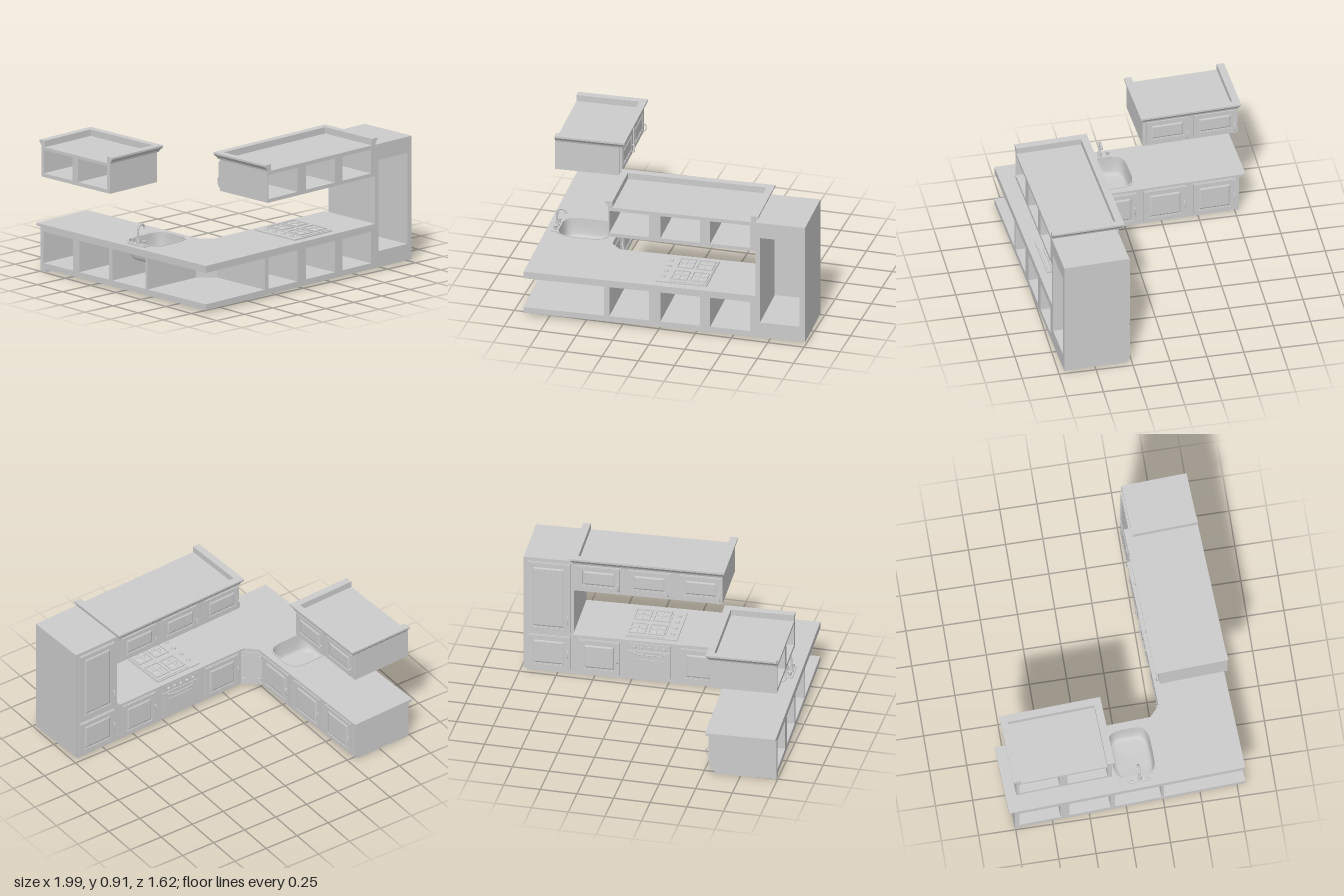
import * as THREE from 'three';

const mat = new THREE.MeshStandardMaterial({ color: 0xcccccc, side: THREE.DoubleSide });

function add(parent, name, geo, x = 0, y = 0, z = 0) {
  const m = new THREE.Mesh(geo, mat);
  m.name = name;
  m.position.set(x, y, z);
  parent.add(m);
  return m;
}
const box = (w, h, d) => new THREE.BoxGeometry(w, h, d);
const cyl = (r0, r1, h, n = 20) => new THREE.CylinderGeometry(r0, r1, h, n);
const group = (parent, name) => {
  const g = new THREE.Group();
  g.name = name;
  parent.add(g);
  return g;
};
const poly = (pts) => new THREE.Shape(pts.map((p) => new THREE.Vector2(p[0], p[1])));
const rect = (x0, x1, y0, y1) => [[x0, y0], [x1, y0], [x1, y1], [x0, y1]];
const extrude = (shape, depth) => new THREE.ExtrudeGeometry(shape, { depth, bevelEnabled: false });
// plan outline (x, distance from the back wall) raised upwards
const slab = (shape, h) => extrude(shape, h).rotateX(-Math.PI / 2);

// cabinet body: open bays at the back, closed panel at the front (+z)
function carcass(parent, name, [x0, x1, y0, y1], depth, holes) {
  const s = poly(rect(x0, x1, y0, y1));
  holes.forEach((h) => s.holes.push(poly(rect(...h))));
  add(parent, name, extrude(s, depth - 0.015));
  add(parent, name + 'Front', box(x1 - x0, y1 - y0, 0.015), (x0 + x1) / 2, (y0 + y1) / 2, depth - 0.0075);
}

function handle(parent, x, y, z, len, horizontal = false) {
  const c = new THREE.CatmullRomCurve3([[0, -len / 2, 0], [0, -len * 0.35, 0.014], [0, 0, 0.018], [0, len * 0.35, 0.014], [0, len / 2, 0]]
    .map((p) => new THREE.Vector3(...p)));
  const m = add(parent, 'handle', new THREE.TubeGeometry(c, 14, 0.004, 8), x, y, z);
  if (horizontal) m.rotation.z = Math.PI / 2;
}

// framed door with a raised centre panel, back on z
function door(parent, cx, y0, y1, w, z, handleY) {
  const g = group(parent, 'door');
  const h = y1 - y0;
  g.position.set(cx, (y0 + y1) / 2, z);
  add(g, 'doorSlab', box(w, h, 0.008), 0, 0, 0.004);
  const ring = (inset, b, d) => {
    const s = poly(rect(-w / 2 + inset, w / 2 - inset, -h / 2 + inset, h / 2 - inset));
    const i = inset + b;
    s.holes.push(poly(rect(-w / 2 + i, w / 2 - i, -h / 2 + i, h / 2 - i)));
    return extrude(s, d);
  };
  add(g, 'doorFrame', ring(0.004, 0.026, 0.007), 0, 0, 0.008);
  add(g, 'doorMoulding', ring(0.03, 0.006, 0.004), 0, 0, 0.008);
  const pw = w - 0.1, ph = h - 0.1;
  add(g, 'doorPanel', new THREE.ExtrudeGeometry(poly(rect(-pw / 2, pw / 2, -ph / 2, ph / 2)),
    { depth: 0.001, bevelSize: 0.01, bevelThickness: 0.005, bevelSegments: 1 }), 0, 0, 0.009);
  handle(g, w / 2 - 0.014, handleY - (y0 + y1) / 2, 0.014, 0.06);
}

// mitred crown moulding around left, front and right
function cornice(parent, x0, x1, depth, y) {
  const profile = [[-0.03, 0], [0, 0], [0.004, 0.012], [0.02, 0.032], [0.02, 0.045], [-0.03, 0.045]];
  const row = ([o, h]) => [[x0 - o, y + h, 0], [x0 - o, y + h, depth + o], [x1 + o, y + h, depth + o], [x1 + o, y + h, 0]];
  const rows = profile.map(row), pos = [];
  rows.forEach((a, i) => {
    const b = rows[(i + 1) % rows.length];
    for (let k = 0; k < 3; k++) pos.push(a[k], a[k + 1], b[k + 1], a[k], b[k + 1], b[k]);
  });
  for (let i = 1; i < rows.length - 1; i++) {
    pos.push(rows[0][0], rows[i][0], rows[i + 1][0], rows[0][3], rows[i + 1][3], rows[i][3]);
  }
  const g = new THREE.BufferGeometry();
  g.setAttribute('position', new THREE.Float32BufferAttribute(pos.flat(), 3));
  g.computeVertexNormals();
  add(parent, 'cornice', g);
}

// rounded outline of the sink
const SINK = [0.254, 0.719];
function sinkLoop(s, n = 40) {
  const f = (v) => Math.sign(v) * Math.sqrt(Math.abs(v));
  return Array.from({ length: n }, (_, i) => {
    const t = (i / n) * Math.PI * 2;
    return [SINK[0] + 0.17 * s * f(Math.cos(t)), SINK[1] + 0.14 * s * f(Math.sin(t))];
  });
}

function sink(parent) {
  const n = 40, pos = [], idx = [];
  const levels = [[1, 0.327], [0.98, 0.28], [0.94, 0.225], [0.86, 0.205], [0.7, 0.198], [0.05, 0.195]];
  levels.forEach(([s, y]) => sinkLoop(s, n).forEach(([x, v]) => pos.push(x, y, -v)));
  for (let l = 0; l < levels.length - 1; l++) for (let i = 0; i < n; i++) {
    const a = l * n + i, b = l * n + ((i + 1) % n);
    idx.push(a, a + n, b, b, a + n, b + n);
  }
  const g = new THREE.BufferGeometry();
  g.setAttribute('position', new THREE.Float32BufferAttribute(pos, 3));
  g.setIndex(idx);
  g.computeVertexNormals();
  add(parent, 'sinkBowl', g);
  const rim = poly(sinkLoop(1.05));
  rim.holes.push(poly(sinkLoop(1)));
  add(parent, 'sinkRim', slab(rim, 0.005), 0, 0.323, 0);
  add(parent, 'drain', cyl(0.015, 0.015, 0.004), SINK[0], 0.197, -SINK[1]);

  const tap = group(parent, 'tap');
  tap.position.set(0.063, 0.324, -0.703);
  add(tap, 'tapPlate', box(0.045, 0.008, 0.16), 0, 0.004, 0);
  add(tap, 'tapBase', cyl(0.011, 0.015, 0.045), 0, 0.025, 0);
  const c = new THREE.CatmullRomCurve3([[0, 0.03, 0], [0, 0.1, 0], [0.008, 0.128, 0], [0.03, 0.138, 0], [0.05, 0.13, 0], [0.058, 0.112, 0]]
    .map((p) => new THREE.Vector3(...p)));
  add(tap, 'spout', new THREE.TubeGeometry(c, 28, 0.007, 10));
  add(tap, 'spoutTip', cyl(0.009, 0.009, 0.014), 0.058, 0.112, 0);
  for (const s of [-1, 1]) {
    add(tap, 'tapStem', cyl(0.009, 0.012, 0.025), 0, 0.016, s * 0.055);
    add(tap, 'tapKnob', cyl(0.016, 0.013, 0.014, 8), 0, 0.032, s * 0.055);
  }
}

function hob(parent) {
  const g = group(parent, 'hob');
  g.position.set(1.06, 0.322, -0.245);
  add(g, 'hobPlate', box(0.35, 0.01, 0.38), 0, 0.005, 0);
  add(g, 'hobTop', box(0.26, 0.006, 0.36), 0.04, 0.012, 0);
  for (const z of [-0.12, -0.04, 0.04, 0.12]) add(g, 'hobKnob', cyl(0.012, 0.015, 0.014), -0.135, 0.016, z);
  for (const x of [-0.025, 0.105]) for (const z of [-0.09, 0.09]) {
    add(g, 'burner', cyl(0.028, 0.034, 0.006), x, 0.017, z);
    add(g, 'grateBar', box(0.1, 0.004, 0.006), x, 0.022, z);
    add(g, 'grateBar', box(0.006, 0.004, 0.13), x, 0.022, z);
    for (const s of [-1, 1]) {
      add(g, 'grateEdge', box(0.11, 0.008, 0.006), x, 0.019, z + s * 0.065);
      add(g, 'grateEdge', box(0.006, 0.008, 0.136), x + s * 0.052, 0.019, z);
    }
  }
}

function oven(parent, cx, z) {
  const g = group(parent, 'oven');
  g.position.set(cx, 0, z);
  add(g, 'ovenPanel', box(0.28, 0.05, 0.016), 0, 0.27, 0.008);
  add(g, 'ovenDoor', box(0.28, 0.195, 0.014), 0, 0.14, 0.007);
  add(g, 'ovenWindow', box(0.2, 0.11, 0.005), 0, 0.125, 0.016);
  handle(g, 0, 0.222, 0.014, 0.22, true);
  for (let i = 0; i < 5; i++) add(g, 'ovenKnob', cyl(0.009, 0.011, 0.016), -0.1 + i * 0.05, 0.27, 0.022).rotation.x = Math.PI / 2;
}

export function createModel() {
  const model = new THREE.Group();
  model.name = 'cornerKitchen';
  const k = group(model, 'kitchen');
  k.position.set(-0.92, 0, 0.805);
  k.rotation.y = 0.047;

  // long run (faces -z, its x is mirrored) and side run (faces +x)
  const long = group(k, 'longRun'), side = group(k, 'sideRun');
  long.rotation.y = Math.PI;
  side.rotation.y = Math.PI / 2;

  const bays = (xs, w, y0, y1) => xs.map((x) => [x - w / 2, x + w / 2, y0, y1]);
  const L = [-0.72, -1.068, -1.408];
  carcass(long, 'baseCabinet', [-1.58, -0.55, 0.02, 0.305], 0.45, bays(L, 0.27, 0.06, 0.275));
  door(long, L[0], 0.035, 0.285, 0.28, 0.45, 0.16);
  oven(long, L[1], 0.45);
  door(long, L[2], 0.035, 0.285, 0.28, 0.45, 0.16);
  carcass(long, 'wallCabinet', [-1.58, -0.576, 0.65, 0.866], 0.45, bays(L, 0.27, 0.675, 0.84));
  L.forEach((x) => door(long, x, 0.67, 0.85, 0.29, 0.45, 0.71));
  cornice(long, -1.58, -0.576, 0.472, 0.865);

  // tall cabinet
  carcass(long, 'tallCabinet', [-1.92, -1.58, 0.02, 0.865], 0.44, [[-1.88, -1.612, 0.13, 0.755]]);
  door(long, -1.75, 0.315, 0.84, 0.29, 0.44, 0.42);
  door(long, -1.75, 0.035, 0.285, 0.29, 0.44, 0.16);

  // side run; its first bay stays open above for the sink bowl
  const S = [0.713, 1.053, 1.392];
  carcass(side, 'sideBase', [0.883, 1.56, 0.02, 0.305], 0.45, bays(S.slice(1), 0.28, 0.06, 0.275));
  add(side, 'sinkBayFloor', box(0.333, 0.04, 0.45), 0.7165, 0.04, 0.225);
  add(side, 'sinkBayWall', box(0.018, 0.285, 0.45), 0.559, 0.1625, 0.225);
  add(side, 'sinkBayRail', box(0.333, 0.03, 0.03), 0.7165, 0.29, 0.015);
  add(side, 'sinkBayFront', box(0.333, 0.285, 0.015), 0.7165, 0.1625, 0.4425);
  S.forEach((x) => door(side, x, 0.035, 0.285, 0.29, 0.45, 0.145));
  const U = [1.07, 1.395];
  carcass(side, 'sideWallCabinet', [0.905, 1.552, 0.65, 0.856], 0.44, bays(U, 0.27, 0.675, 0.835));
  U.forEach((x) => door(side, x, 0.67, 0.85, 0.295, 0.44, 0.71));
  cornice(side, 0.905, 1.55, 0.457, 0.855);

  // open corner with an angled front
  const corner = () => poly([[0, 0], [0.55, 0], [0.55, 0.45], [0.45, 0.55], [0, 0.55]]);
  add(k, 'cornerFloor', slab(corner(), 0.04), 0, 0.02, 0);
  add(k, 'cornerTop', slab(corner(), 0.03), 0, 0.275, 0);
  const angled = group(k, 'cornerDoor');
  angled.position.set(0.5, 0.16, -0.5);
  angled.rotation.y = -Math.PI / 4 + Math.PI;
  add(angled, 'cornerPanel', box(0.14, 0.25, 0.012));
  for (const s of [-1, 1]) for (const y of [-0.09, 0.09]) add(angled, 'hinge', box(0.022, 0.014, 0.008), s * 0.055, y, 0.009);

  // worktop with the sink cut-out
  const top = poly([[0, 0], [1.58, 0], [1.58, 0.475], [0.545, 0.475], [0.476, 0.545], [0.476, 1.6], [0, 1.6]]);
  top.holes.push(poly(sinkLoop(1)));
  add(k, 'worktop', slab(top, 0.018), 0, 0.305, 0);
  sink(k);
  hob(k);

  // recessed plinths
  add(long, 'plinth', box(1.35, 0.02, 0.1), -1.225, 0.01, 0.38);
  add(side, 'plinth', box(1.12, 0.02, 0.1), 1, 0.01, 0.37);
  add(side, 'plinthEnd', box(0.05, 0.02, 0.42), 1.535, 0.01, 0.21);
  return model;
}
